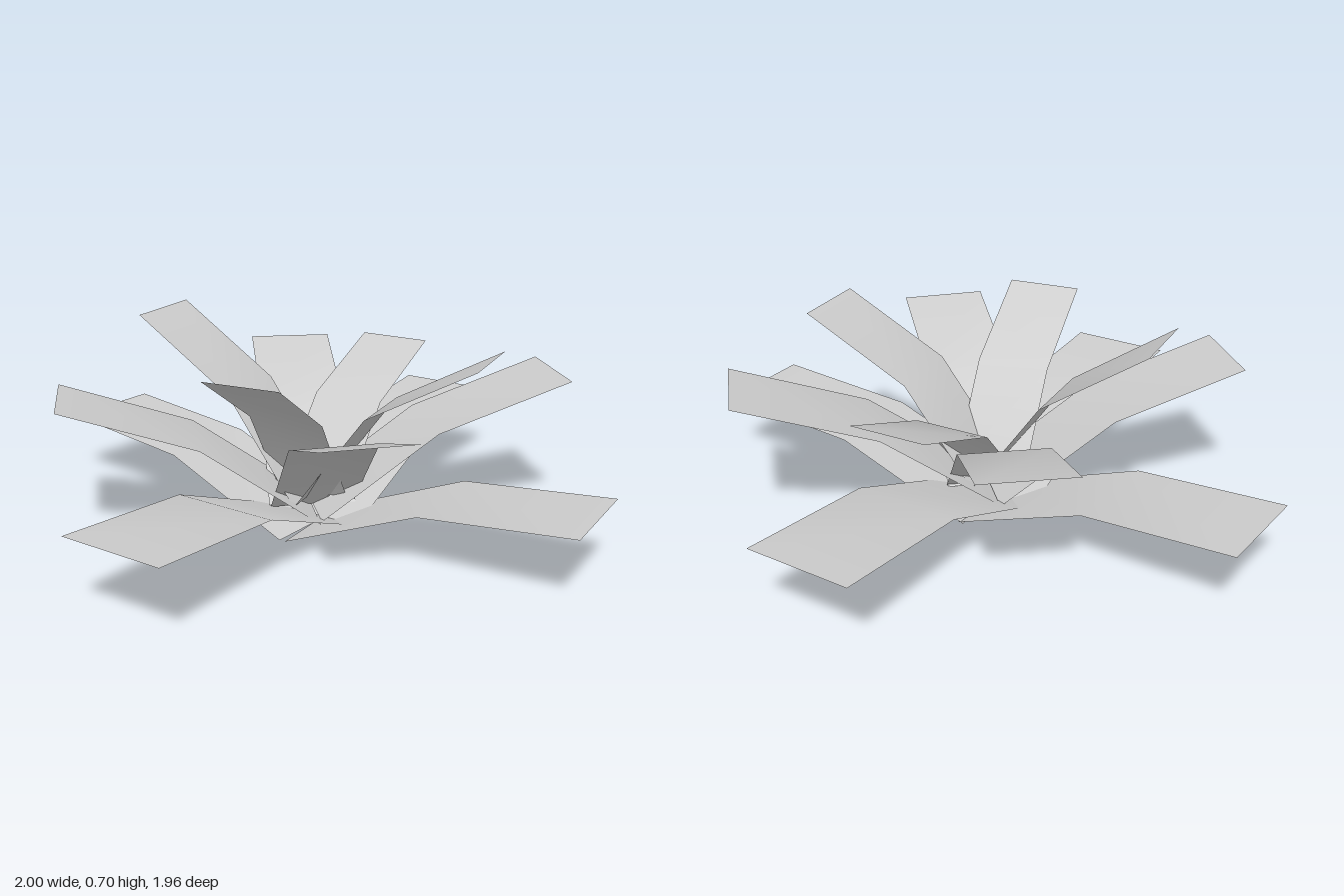
import * as THREE from 'three';

// One leaf per row: tip x, tip z, width, base height, bend radius, bend height, tip height
const tiers = {
  lowLeaf: [
    [0.99, -0.06, 0.36, 0.006, 0.48, 0.2, 0.245],
    [-0.993, -0.05, 0.36, 0.006, 0.48, 0.2, 0.245],
    [0.01, 0.977, 0.36, 0.042, 0.48, 0.233, 0.275],
    [-0.015, -0.983, 0.36, 0.042, 0.48, 0.23, 0.275],
  ],
  middleLeaf: [
    [0.59, -0.602, 0.328, 0.08, 0.39, 0.36, 0.515],
    [-0.592, 0.583, 0.325, 0.07, 0.39, 0.35, 0.5],
    [0.522, 0.47, 0.293, 0.08, 0.3, 0.39, 0.525],
    [-0.493, -0.552, 0.298, 0.08, 0.32, 0.365, 0.49],
  ],
  upperLeaf: [
    [0.6, -0.095, 0.28, 0.12, 0.245, 0.455, 0.655],
    [-0.585, 0.07, 0.28, 0.12, 0.24, 0.465, 0.705],
    [0.095, 0.507, 0.255, 0.12, 0.21, 0.44, 0.637],
    [-0.053, -0.617, 0.255, 0.12, 0.25, 0.395, 0.535],
  ],
};

// Strip of two panels running outward along +z, bent once across its width
function leafGeometry(width, stations) {
  const geo = new THREE.PlaneGeometry(width, 1, 1, 2);
  const pos = geo.attributes.position;
  for (let i = 0; i < pos.count; i++) {
    const [r, y] = stations[2 - Math.floor(i / 2)];
    pos.setXYZ(i, -pos.getX(i), y, r);
  }
  // mirrored across x, with the tip first, so the upper side is the front
  geo.computeVertexNormals();
  if (geo.attributes.normal.getY(0) < 0) {
    const idx = geo.index;
    for (let i = 0; i < idx.count; i += 3) {
      const a = idx.getX(i);
      idx.setX(i, idx.getX(i + 1));
      idx.setX(i + 1, a);
    }
    geo.computeVertexNormals();
  }
  return geo;
}

export function createModel() {
  const plant = new THREE.Group();
  plant.name = 'plant';
  const leafGrey = new THREE.MeshStandardMaterial({ color: 0xcccccc, side: THREE.DoubleSide });
  leafGrey.name = 'leaf grey';

  for (const [name, rows] of Object.entries(tiers)) {
    for (const [x, z, width, baseY, bendR, bendY, tipY] of rows) {
      const stations = [[0, baseY], [bendR, bendY], [Math.hypot(x, z), tipY]];
      const leaf = new THREE.Mesh(leafGeometry(width, stations), leafGrey);
      leaf.name = name;
      leaf.rotation.y = Math.atan2(x, z);
      plant.add(leaf);
    }
  }
  return plant;
}
